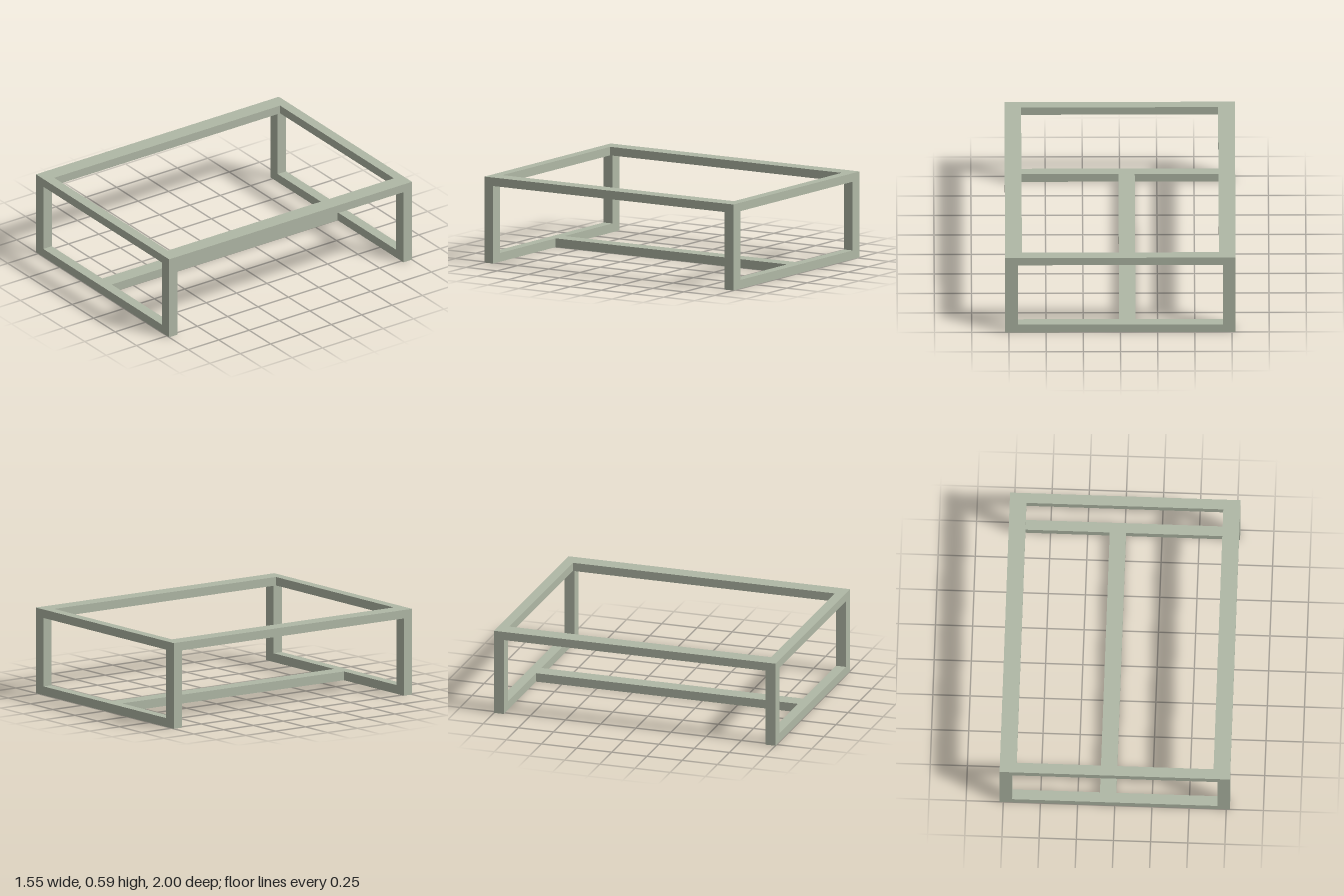
import * as THREE from 'three';

const W = 0.775, H = 0.587, L = 1; // half width, height, half length
const LEG = 0.085, BAR = 0.058, DEPTH = 0.07, RAIL = 0.113;

export function createModel() {
  const model = new THREE.Group();
  model.name = 'tableFrame';
  const paint = new THREE.MeshStandardMaterial({ color: 0xb0b8a6 });
  paint.name = 'sage grey paint';

  const add = (name, geometry, x, y, z) => {
    const mesh = new THREE.Mesh(geometry, paint);
    mesh.name = name;
    mesh.position.set(x, y, z);
    model.add(mesh);
  };

  const rectangle = (Type, x, y0, y1) => new Type([
    new THREE.Vector2(-x, y0), new THREE.Vector2(x, y0),
    new THREE.Vector2(x, y1), new THREE.Vector2(-x, y1),
  ]);

  // Closed rectangular leg frames at both ends
  const outline = rectangle(THREE.Shape, W, 0, H);
  outline.holes.push(rectangle(THREE.Path, W - LEG, BAR + 0.002, H - BAR));
  const endFrame = new THREE.ExtrudeGeometry(outline, { depth: DEPTH, bevelEnabled: false });
  add('frontLegFrame', endFrame, 0, 0, L - DEPTH);
  add('backLegFrame', endFrame, 0, 0, -L);

  // Long rails joining the frames: two at the top, one low stretcher
  const span = 2 * (L - DEPTH);
  const rail = new THREE.BoxGeometry(RAIL, BAR, span);
  add('leftTopRail', rail, W - RAIL / 2, H - BAR / 2, 0);
  add('rightTopRail', rail, -W + RAIL / 2, H - BAR / 2, 0);
  add('lowerStretcher', new THREE.BoxGeometry(0.11, BAR + 0.002, span), -0.047, (BAR + 0.002) / 2, 0);

  return model;
}
